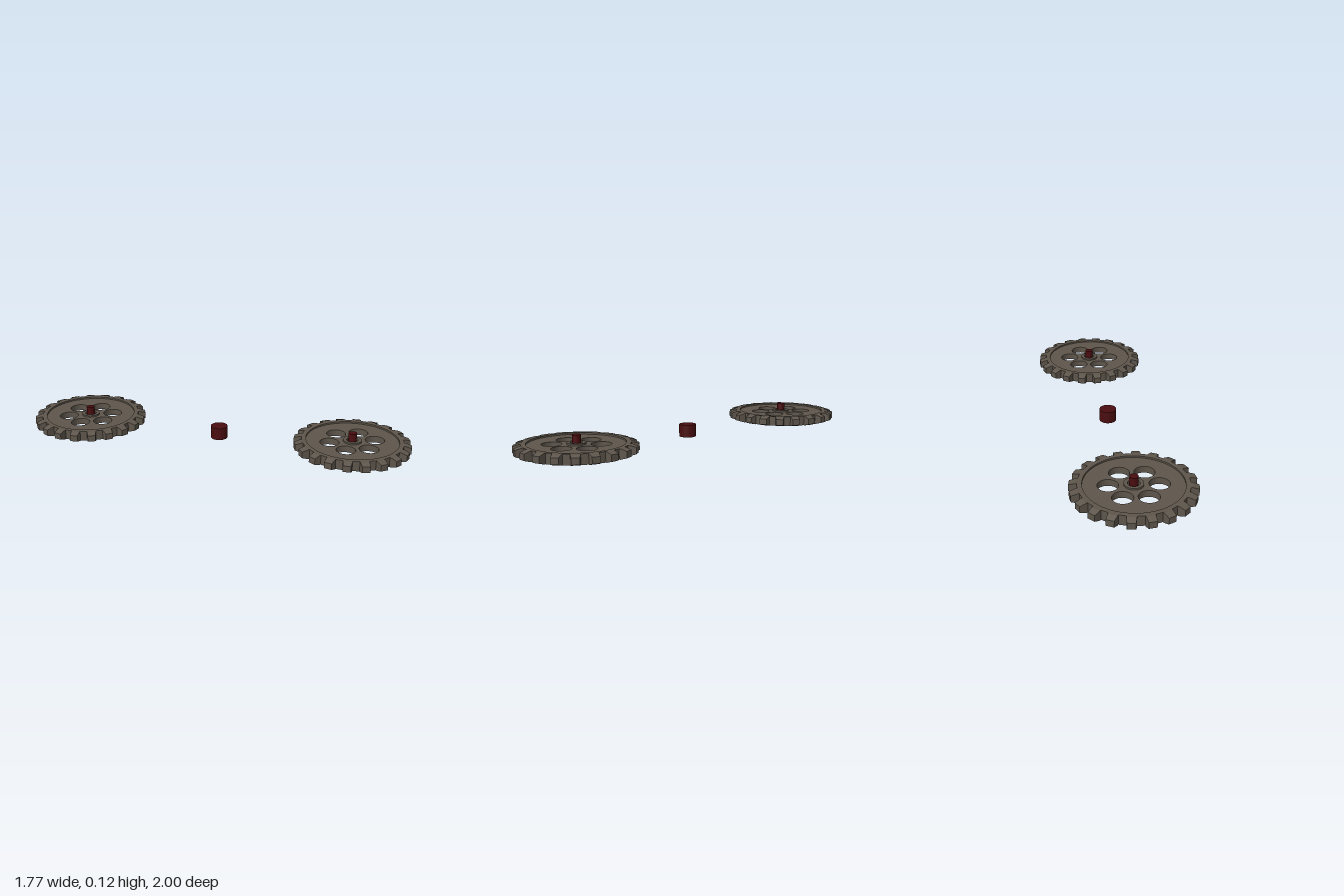
import * as THREE from 'three';
import { mergeGeometries, toCreasedNormals } from 'three/addons/utils/BufferGeometryUtils.js';

const BOTTOM = 0.014, TOP = 0.074, MID = (BOTTOM + TOP) / 2;
const TEETH = 20, ROOT = 0.305, TIP = 0.35;

const gearMetal = new THREE.MeshStandardMaterial({ color: 0x5e564c });
const darkRed = new THREE.MeshStandardMaterial({ color: 0x4a0d10 });
gearMetal.name = 'gearMetal';
darkRed.name = 'darkRed';

function part(name, geometry, material) {
  const mesh = new THREE.Mesh(geometry, material);
  mesh.name = name;
  return mesh;
}

// Flat disc lying in the xz plane, pierced by round holes [x, y, radius]
function disc(radius, holes, y0, y1) {
  const shape = new THREE.Shape().absarc(0, 0, radius, 0, Math.PI * 2);
  for (const [x, y, r] of holes) {
    shape.holes.push(new THREE.Path().absarc(x, y, r, 0, Math.PI * 2, true));
  }
  const geometry = new THREE.ExtrudeGeometry(shape, { depth: y1 - y0, bevelEnabled: false, curveSegments: 32 });
  geometry.rotateX(-Math.PI / 2).translate(0, y0, 0);
  return toCreasedNormals(geometry, 0.6);
}

// One tooth, narrowing in width and height towards the tip
function tooth(angle) {
  const inner = ROOT - 0.012;
  const geometry = new THREE.BoxGeometry(0.054, TOP - BOTTOM, TIP - inner, 1, 1, 2);
  const p = geometry.attributes.position;
  for (let i = 0; i < p.count; i++) {
    const z = p.getZ(i);
    if (Math.abs(z) < 0.001) {
      p.setZ(i, inner + 0.02 - (inner + TIP) / 2 + 0.0);
      p.setZ(i, -p.getZ(i));
    } else if (z < 0) {
      p.setX(i, p.getX(i) * 0.86);
      p.setY(i, p.getY(i) * 0.62);
    }
  }
  geometry.translate(0, MID, -(inner + TIP) / 2);
  geometry.rotateY(-angle);
  const flat = geometry.toNonIndexed();
  flat.computeVertexNormals();
  return flat;
}

function gear(name) {
  const group = new THREE.Group();
  group.name = name;

  // Recessed web with six lightening holes and the axle bore
  const holes = [[0, 0, 0.035]];
  for (let i = 0; i < 6; i++) {
    const a = (i * Math.PI) / 3;
    holes.push([Math.sin(a) * 0.139, Math.cos(a) * 0.139, 0.058]);
  }
  group.add(part('web', disc(0.281, holes, BOTTOM + 0.01, TOP - 0.01), gearMetal));

  // Raised rim and hub
  group.add(part('rim', disc(ROOT, [[0, 0, 0.278]], BOTTOM, TOP), gearMetal));
  group.add(part('hub', disc(0.055, [[0, 0, 0.0345]], BOTTOM, TOP), gearMetal));

  // Teeth around the rim
  const teeth = [];
  for (let i = 0; i < TEETH; i++) {
    teeth.push(tooth(THREE.MathUtils.degToRad(-4.7 + (i * 360) / TEETH)));
  }
  group.add(part('teeth', mergeGeometries(teeth), gearMetal));

  // Axle pin standing in the bore
  const pin = part('axlePin', new THREE.CylinderGeometry(0.025, 0.025, 0.104, 32), darkRed);
  pin.position.y = BOTTOM + 0.052;
  group.add(pin);
  return group;
}

export function createModel() {
  const model = new THREE.Group();
  model.name = 'gearSet';

  const frontGear = gear('frontGear');
  frontGear.position.set(0.533, 0, 0.648);
  model.add(frontGear);

  const backGear = gear('backGear');
  backGear.position.set(-0.536, 0, -0.65);
  backGear.rotation.y = THREE.MathUtils.degToRad(4);
  model.add(backGear);

  // Loose pin between the gears
  const centrePin = part('centrePin', new THREE.CylinderGeometry(0.052, 0.052, 0.076, 32), darkRed);
  centrePin.position.set(0.009, 0.038, 0.012);
  model.add(centrePin);
  return model;
}
